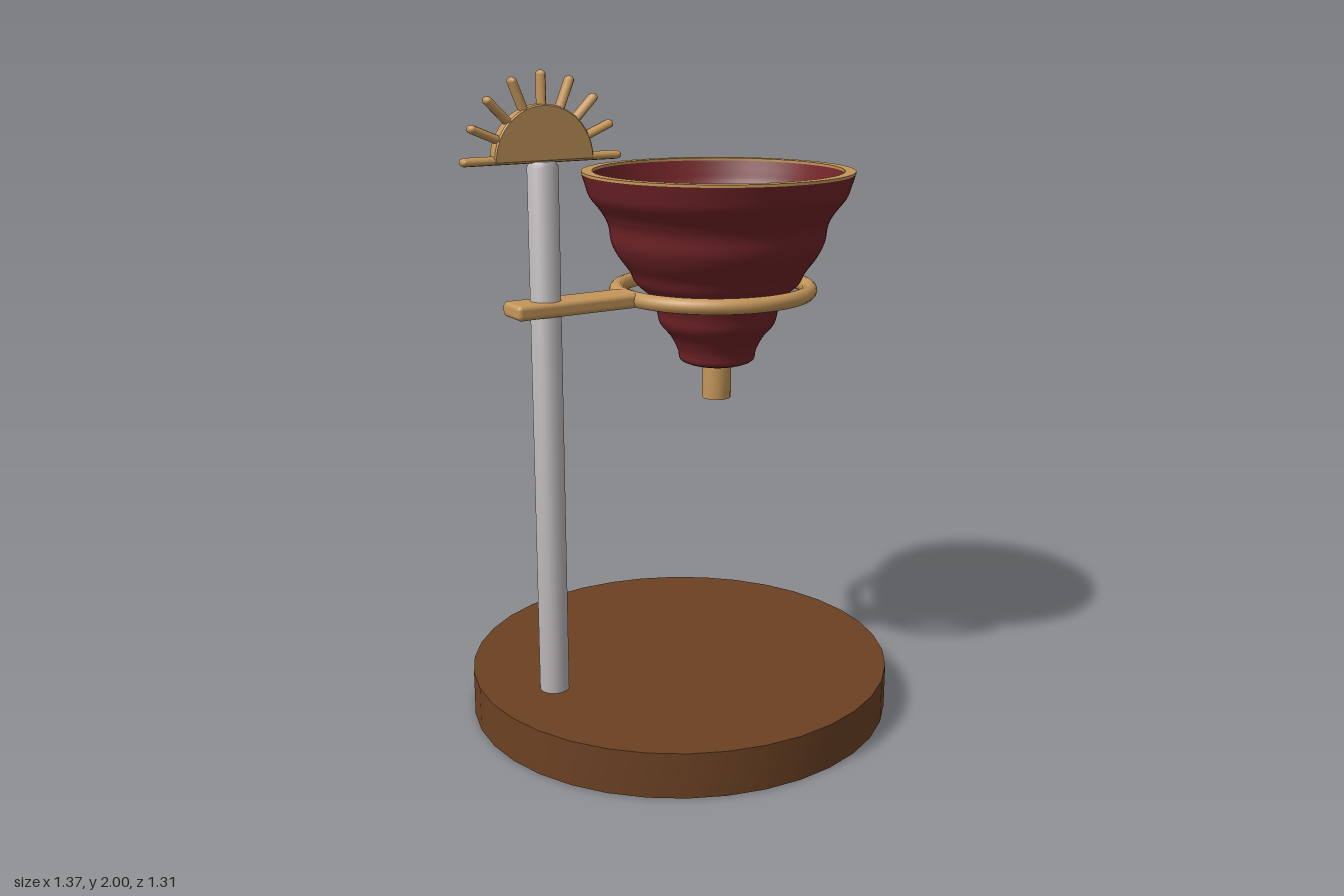
import * as THREE from 'three';
import { RoundedBoxGeometry } from 'three/addons/geometries/RoundedBoxGeometry.js';
import { toCreasedNormals } from 'three/addons/utils/BufferGeometryUtils.js';

const material = (name, color) => {
  const m = new THREE.MeshStandardMaterial({ color });
  m.name = name;
  return m;
};

export function createModel() {
  const model = new THREE.Group();
  const wood = material('walnut wood', 0x6b4123);
  const steel = material('pale steel', 0xb9b4b6);
  const brass = material('brass', 0xc4965a);
  const red = material('dark red glaze', 0x722428);

  const add = (name, geometry, mat, x = 0, y = 0, z = 0, parent = model) => {
    const mesh = new THREE.Mesh(geometry, mat);
    mesh.name = name;
    mesh.position.set(x, y, z);
    parent.add(mesh);
    return mesh;
  };
  const lathe = (points, segments) => toCreasedNormals(
    new THREE.LatheGeometry(points.map(([r, y]) => new THREE.Vector2(r, y)), segments), 0.7);

  // Round wooden base
  const base = add('base', toCreasedNormals(new THREE.CylinderGeometry(0.666, 0.666, 0.14, 36), 0.5), wood, 0.018, 0.07);
  base.scale.z = 0.984;

  // Upright pole with a softened top edge
  const poleX = -0.438;
  add('pole', lathe([[0, 0.13], [0.045, 0.13], [0.045, 1.735], [0.035, 1.75], [0, 1.75]], 20), steel, poleX);

  // Sunburst finial: half disc and nine rays
  const sun = new THREE.Group();
  sun.name = 'sunburst';
  sun.position.set(poleX, 1.757, 0);
  model.add(sun);
  const half = new THREE.Shape();
  half.absarc(0, 0, 0.15, 0, Math.PI, false);
  half.closePath();
  add('sunDisc', new THREE.ExtrudeGeometry(half, {
    depth: 0.032, bevelThickness: 0.004, bevelSize: 0.004, bevelSegments: 1, curveSegments: 24,
  }), brass, 0, -0.004, -0.016, sun);
  for (let i = 0; i <= 8; i++) {
    const a = (i * Math.PI) / 8;
    const flat = i % 8 === 0;
    const ray = add('sunRay', new THREE.CapsuleGeometry(0.0125, flat ? 0.225 : 0.11, 4, 10), brass,
      Math.cos(a) * (flat ? 0.125 : 0.175), Math.sin(a) * 0.175, 0, sun);
    ray.rotation.z = a - Math.PI / 2;
    ray.scale.z = 1.6;
  }

  // Arm and ring that carry the cup
  add('arm', new RoundedBoxGeometry(0.395, 0.044, 0.11, 3, 0.014), brass, -0.353, 1.332);
  const ring = add('supportRing', new THREE.TorusGeometry(0.296, 0.024, 12, 64), brass, 0.138, 1.332);
  ring.rotation.x = Math.PI / 2;

  // Rippled cup: outer wall, inner wall and floor
  const cup = new THREE.Group();
  cup.name = 'cup';
  cup.position.x = 0.154;
  model.add(cup);
  const curve = new THREE.SplineCurve([
    [0.085, 1.097], [0.115, 1.11], [0.122, 1.14], [0.145, 1.185], [0.178, 1.225], [0.19, 1.27],
    [0.212, 1.315], [0.252, 1.352], [0.272, 1.39], [0.305, 1.435], [0.327, 1.48], [0.335, 1.53],
    [0.355, 1.57], [0.39, 1.615], [0.403, 1.65], [0.415, 1.688],
  ].map(([r, y]) => new THREE.Vector2(r, y)));
  const outer = curve.getPoints(60).map((p) => [p.x, p.y]);
  const inner = outer.filter(([, y]) => y > 1.25).map(([r, y]) => [r - 0.032, y]).reverse();
  add('cupOuter', lathe([[0, 1.097], ...outer], 56), red, 0, 0, 0, cup);
  add('cupInner', lathe([...inner, [0, inner[inner.length - 1][1]]], 56), red, 0, 0, 0, cup);

  // Brass lip and drain spout
  add('cupLip', lathe([[0.382, 1.686], [0.415, 1.686], [0.415, 1.694], [0.382, 1.694], [0.382, 1.686]], 56), brass, 0, 0, 0, cup);
  add('spout', toCreasedNormals(new THREE.CylinderGeometry(0.045, 0.045, 0.125, 12), 0.6), brass, 0, 1.0475, 0, cup);

  return model;
}
